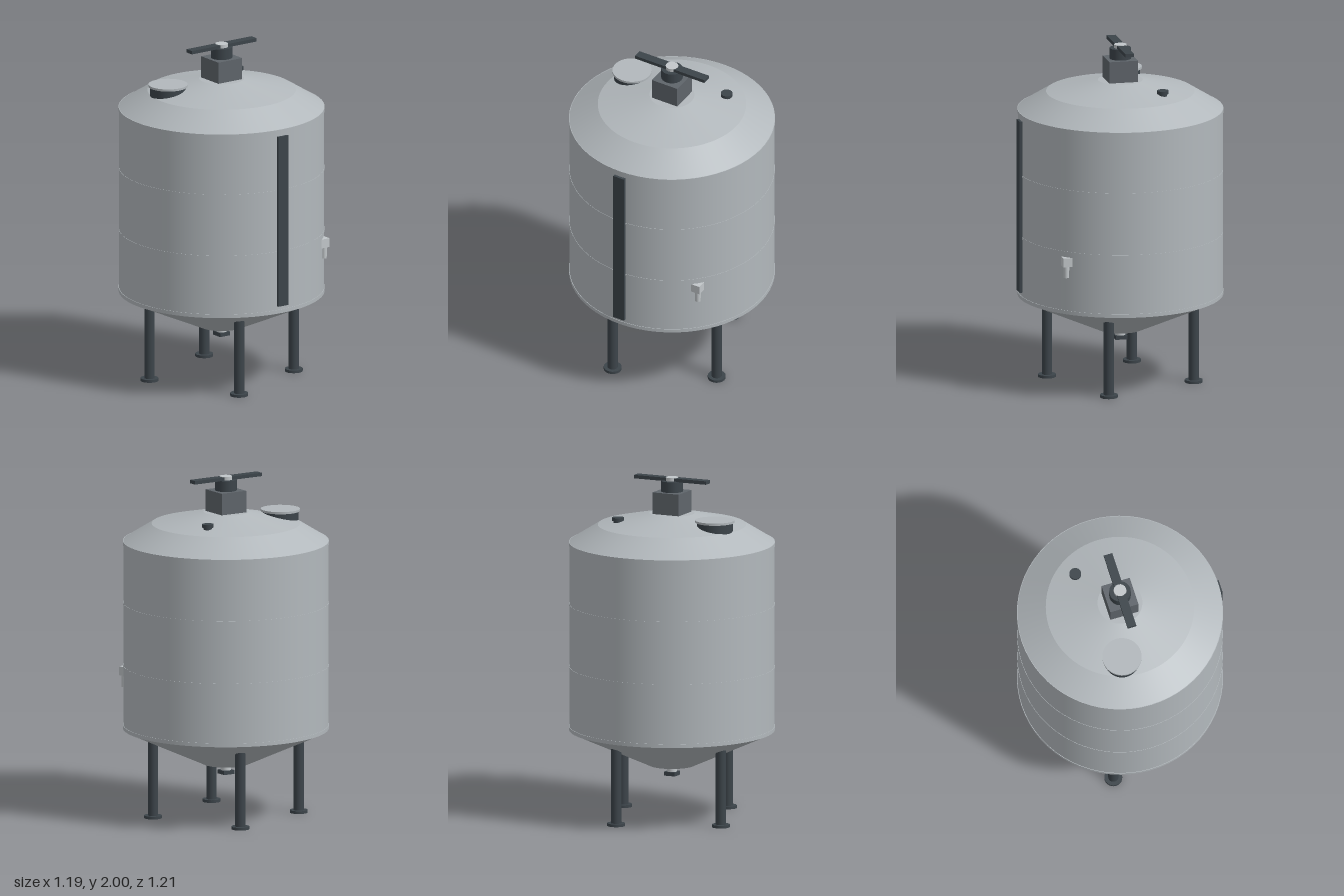
import * as THREE from 'three';

const flat = (name, color) => {
  const m = new THREE.MeshStandardMaterial({ color });
  m.name = name;
  return m;
};

export function createModel() {
  const steel = flat('brushed steel', 0xb2b8bc);
  const bright = flat('bright steel', 0xc2c7ca);
  const dark = flat('dark metal', 0x3c444a);
  const grey = flat('motor grey', 0x5f656b);

  const model = new THREE.Group();
  model.name = 'storageTank';
  // everything but the front strip shares one vertical axis just behind z = 0
  const tank = new THREE.Group();
  tank.name = 'tank';
  tank.position.z = -0.008;
  model.add(tank);

  const add = (name, geo, mat, x, y, z, parent = tank) => {
    const mesh = new THREE.Mesh(geo, mat);
    mesh.name = name;
    mesh.position.set(x, y, z);
    parent.add(mesh);
    return mesh;
  };
  // round part between two heights
  const round = (name, mat, rBottom, rTop, y0, y1, x = 0, z = 0, seg = 24, open = false, parent = tank) =>
    add(name, new THREE.CylinderGeometry(rTop, rBottom, y1 - y0, seg, 1, open), mat, x, (y0 + y1) / 2, z, parent);
  // box between two heights
  const box = (name, mat, w, d, y0, y1, x = 0, z = 0) =>
    add(name, new THREE.BoxGeometry(w, y1 - y0, d), mat, x, (y0 + y1) / 2, z);

  // shell: cone bottom, straight wall and two-stage roof
  const R = 0.594;
  round('bottomCone', steel, 0.13, R, 0.305, 0.515, 0, 0, 64, true);
  const plate = add('bottomPlate', new THREE.CircleGeometry(0.13, 64), steel, 0, 0.305, 0);
  plate.rotation.x = Math.PI / 2;
  round('wall', steel, R, R, 0.515, 1.62, 0, 0, 64, true);
  round('roofLower', steel, R, 0.43, 1.62, 1.722, 0, 0, 64, true);
  round('roofUpper', steel, 0.43, 0.13, 1.722, 1.79, 0, 0, 64, true);
  const cap = add('roofPlate', new THREE.CircleGeometry(0.13, 64), steel, 0, 1.79, 0);
  cap.rotation.x = -Math.PI / 2;

  // rims and weld bands
  round('bottomRim', steel, 0.597, 0.597, 0.515, 0.537, 0, 0, 64);
  round('topRim', steel, 0.597, 0.597, 1.598, 1.62, 0, 0, 64);
  for (const y of [0.883, 1.252]) round('weldBand', steel, 0.596, 0.596, y - 0.006, y + 0.006, 0, 0, 64);

  // four legs with round feet
  for (let i = 0; i < 4; i++) {
    const a = Math.PI / 8 + (i * Math.PI) / 2;
    const leg = new THREE.Group();
    leg.name = 'leg';
    leg.position.set(0.43 * Math.cos(a), 0, 0.43 * Math.sin(a));
    tank.add(leg);
    round('legTube', dark, 0.03, 0.03, 0.01, 0.455, 0, 0, 24, false, leg);
    round('foot', dark, 0.052, 0.052, 0, 0.016, 0, 0, 24, false, leg);
  }

  // bottom drain
  round('drainPipe', bright, 0.03, 0.03, 0.265, 0.31);
  box('drainFlange', dark, 0.07, 0.07, 0.245, 0.268);

  // agitator drive on the roof
  box('motorBox', grey, 0.17, 0.17, 1.785, 1.917);
  round('driveCollar', dark, 0.063, 0.063, 1.917, 1.98);
  box('crossBar', dark, 0.465, 0.052, 1.978, 1.998);
  round('hub', bright, 0.037, 0.037, 1.975, 2, 0, 0, 16);

  // manhole and vent
  round('manholeNeck', dark, 0.104, 0.104, 1.7, 1.776, -0.32, -0.088, 40);
  round('manholeLid', steel, 0.114, 0.114, 1.775, 1.788, -0.32, -0.088, 40);
  round('ventStem', dark, 0.025, 0.025, 1.735, 1.758, 0.254, -0.192);
  round('ventCap', dark, 0.034, 0.034, 1.755, 1.774, 0.254, -0.192);

  // sampling valve
  box('valveBody', bright, 0.055, 0.055, 0.802, 0.855, 0.419, 0.419);
  round('valveSpout', bright, 0.016, 0.018, 0.735, 0.805, 0.424, 0.424, 16);

  // level gauge strip on the front
  box('levelGauge', dark, 0.072, 0.022, 0.56, 1.58, 0, 0.598);
  return model;
}
